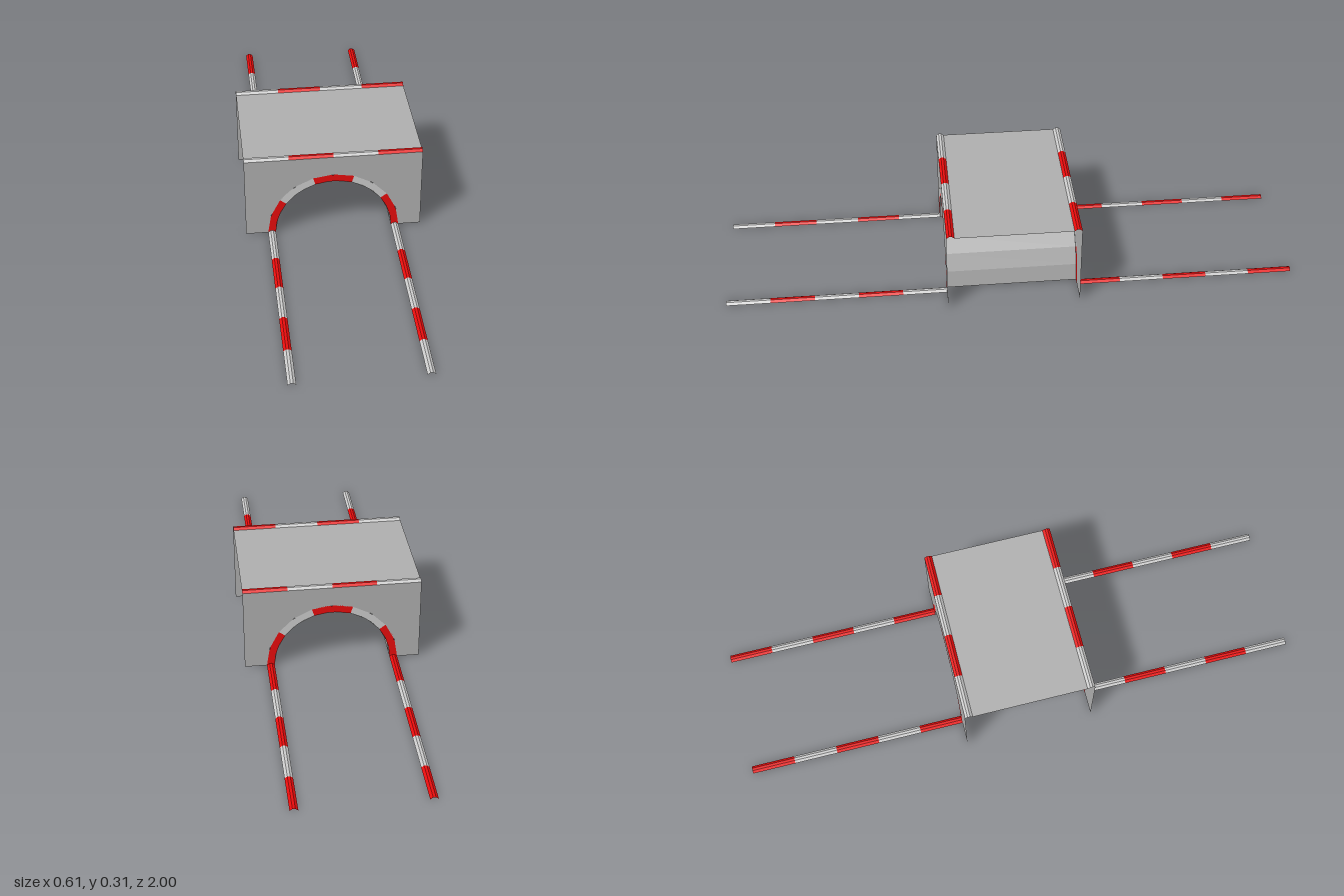
import * as THREE from 'three';

const W = 0.307;          // half width of the portal walls
const D = 0.23;           // half depth of the bridge
const ROOF = 0.301;       // roof height
const R_IN = 0.203, R_OUT = 0.23;
const TRIM = R_OUT - R_IN;
const RISE = 0.007;       // height of the raised trim

const material = (color) => new THREE.MeshStandardMaterial({
  color, flatShading: true, side: THREE.DoubleSide,
});

export function createModel() {
  const model = new THREE.Group();
  const wallMat = material(0xaeaeae);
  const light = material(0xcccccc);
  const red = material(0xe70c0c);

  const add = (name, geometry, mat, parent = model) => {
    const mesh = new THREE.Mesh(geometry, mat);
    mesh.name = name;
    parent.add(mesh);
    return mesh;
  };

  // Open raised strip along x: bevel, flat top, bevel
  const trimStrip = (length) => {
    const g = new THREE.PlaneGeometry(length, TRIM, 1, 3).rotateX(-Math.PI / 2);
    const p = g.attributes.position;
    for (let i = 0; i < p.count; i++) {
      if (Math.abs(p.getZ(i)) < TRIM * 0.4) p.setY(i, RISE);
    }
    const flat = g.toNonIndexed();
    flat.computeVertexNormals();
    return flat;
  };

  // Portal wall outline with a ten-sided arch cut from its bottom edge
  const outline = new THREE.Shape();
  outline.moveTo(-W, 0);
  for (let i = 0; i <= 10; i++) {
    const a = Math.PI * (1 - i / 10);
    outline.lineTo(R_OUT * Math.cos(a), i % 10 ? R_OUT * Math.sin(a) : 0);
  }
  outline.lineTo(W, 0);
  outline.lineTo(W, ROOF);
  outline.lineTo(-W, ROOF);

  for (const side of [1, -1]) {
    const portal = new THREE.Group();
    portal.name = side > 0 ? 'frontPortal' : 'backPortal';
    model.add(portal);

    const wall = new THREE.ShapeGeometry(outline);
    if (side < 0) wall.rotateY(Math.PI);
    wall.translate(0, 0, side * D);
    add('portalWall', wall, wallMat, portal);

    // Striped arch trim, two facets per stripe
    for (let i = 0; i < 5; i++) {
      const g = new THREE.RingGeometry(R_IN, R_OUT, 2, 1, i * Math.PI / 5, Math.PI / 5);
      if (side < 0) g.rotateY(Math.PI);
      g.translate(0, 0, side * D);
      add('archTrim', g, i % 2 ? light : red, portal);
    }

    // Striped curb along the roof edge
    for (let i = 0; i < 4; i++) {
      const g = trimStrip(W / 2);
      g.translate(-W + (i + 0.5) * W / 2, ROOF, side * (D - TRIM / 2));
      add('roofCurb', g, i % 2 ? red : light, portal);
    }
  }

  // Roof between the curbs
  const roof = new THREE.PlaneGeometry(2 * W, 2 * (D - TRIM)).rotateX(-Math.PI / 2);
  add('roof', roof.translate(0, ROOF, 0), wallMat);

  // Barrel vault of the tunnel
  const vault = new THREE.CylinderGeometry(R_IN, R_IN, 2 * D, 10, 1, true, -Math.PI / 2, Math.PI);
  add('tunnelVault', vault.rotateX(-Math.PI / 2), wallMat);

  // Striped ground rails running out from both arch feet
  const step = (1 - D) / 5;
  for (const x of [1, -1]) {
    const rail = new THREE.Group();
    rail.name = x > 0 ? 'leftRail' : 'rightRail';
    model.add(rail);
    for (const z of [1, -1]) {
      for (let i = 0; i < 5; i++) {
        const g = trimStrip(step).rotateY(Math.PI / 2);
        g.translate(x * (R_IN + TRIM / 2), 0, z * (D + (i + 0.5) * step));
        const isRed = z > 0 ? i % 2 === 1 : i % 2 === 0;
        add('railStripe', g, isRed ? red : light, rail);
      }
    }
  }
  return model;
}
